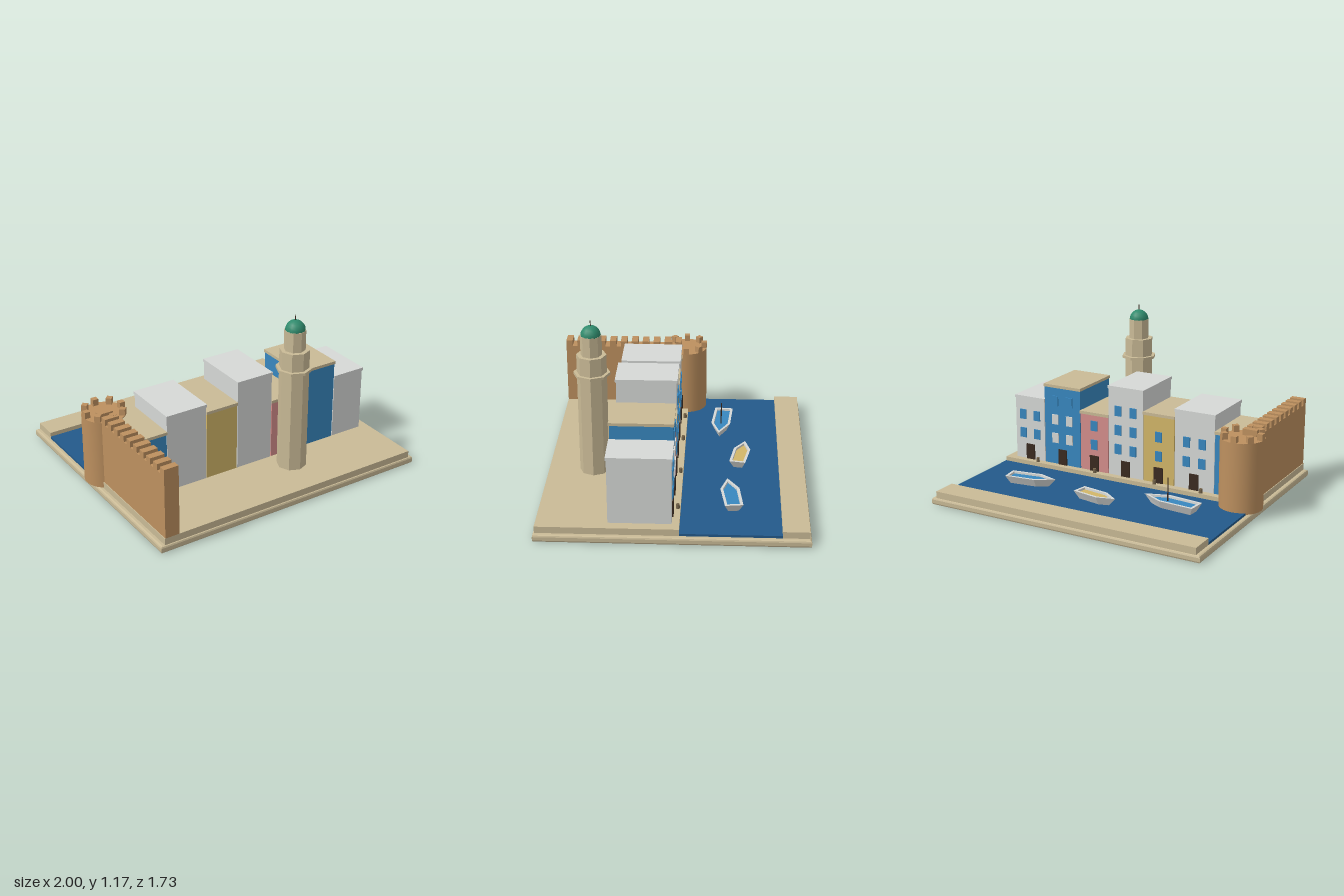
import * as THREE from 'three';

const mat = (name, color) => {
  const m = new THREE.MeshStandardMaterial({ color });
  m.name = name;
  return m;
};

export function createModel() {
  const root = new THREE.Group();
  root.name = 'harbourTown';
  const sand = mat('sandstone', 0xc9ba96);
  const white = mat('whitewash', 0xd6d8d6);
  const blue = mat('blue', 0x3887bf);
  const sea = mat('seaBlue', 0x23598a);
  const yellow = mat('ochre', 0xd2b668);
  const pink = mat('pink', 0xd58e8c);
  const brick = mat('brownStone', 0xbd905f);
  const green = mat('domeGreen', 0x2f8a6c);
  const dark = mat('darkWood', 0x3a2a20);
  const bronze = mat('bollardBrown', 0x75644a);

  const add = (name, geo, material, x = 0, y = 0, z = 0, parent = root) => {
    const mesh = new THREE.Mesh(geo, material);
    mesh.name = name;
    mesh.position.set(x, y, z);
    parent.add(mesh);
    return mesh;
  };
  // Box given by its min and max on each axis
  const box = (name, material, x0, x1, y0, y1, z0, z1, parent = root) =>
    add(name, new THREE.BoxGeometry(x1 - x0, y1 - y0, z1 - z0), material,
      (x0 + x1) / 2, (y0 + y1) / 2, (z0 + z1) / 2, parent);
  const group = (name) => {
    const g = new THREE.Group();
    g.name = name;
    root.add(g);
    return g;
  };
  const faceted = (geo) => {
    const g = geo.toNonIndexed();
    g.computeVertexNormals();
    return g;
  };

  // Base with bevelled rim
  const b = 0.013, hx = 0.985 - b, hz = 0.865 - b;
  const plate = new THREE.Shape([[-hx, -hz], [hx, -hz], [hx, hz], [-hx, hz]].map(p => new THREE.Vector2(...p)));
  const baseGeo = new THREE.ExtrudeGeometry(plate, {
    depth: 0.05 - 2 * b, bevelThickness: b, bevelSize: b, bevelSegments: 2,
  });
  baseGeo.rotateX(-Math.PI / 2);
  add('base', baseGeo, sand, 0.015, b, 0);

  // Ground, quays and water
  box('townGround', sand, -0.94, 0.97, 0.048, 0.095, -0.045, 0.855);
  box('farQuay', sand, -0.94, 0.97, 0.048, 0.095, -0.855, -0.685);
  box('water', sea, -0.94, 0.97, 0.048, 0.066, -0.685, -0.045);

  // Row of houses: x range, wall top, wall and roof colours, window columns, rows from the ground up
  const houses = [
    [-0.835, -0.648, 0.505, blue, sand, 1, [white, blue]],
    [-0.645, -0.355, 0.615, white, white, 2, [blue, blue]],
    [-0.35, -0.12, 0.56, yellow, sand, 1, [blue, blue]],
    [-0.115, 0.15, 0.705, white, white, 2, [blue, blue, blue]],
    [0.155, 0.372, 0.495, pink, sand, 1, [blue, blue]],
    [0.377, 0.663, 0.648, blue, sand, 2, [white, white, blue]],
    [0.668, 0.905, 0.535, white, white, 2, [blue, blue]],
  ];
  for (const [x0, x1, top, wall, roof, columns, rows] of houses) {
    const g = group('house');
    const cx = (x0 + x1) / 2;
    box('walls', wall, x0, x1, 0.09, top, 0.003, 0.403, g);
    box('roof', roof, x0 - 0.004, x1 + 0.004, top, top + 0.02, -0.003, 0.409, g);
    box('door', dark, cx - 0.034, cx + 0.034, 0.095, 0.205, -0.005, 0.004, g);
    rows.forEach((pane, r) => {
      for (const dx of columns === 2 ? [-0.057, 0.057] : [0]) {
        const y = 0.285 + r * 0.135;
        box('window', pane, cx + dx - 0.025, cx + dx + 0.025, y - 0.035, y + 0.035, -0.005, 0.004, g);
      }
    });
  }

  // Bollards along the quay
  for (const x of [-0.565, -0.22, 0.245, 0.71])
    add('bollard', new THREE.CylinderGeometry(0.011, 0.013, 0.03, 10), bronze, x, 0.11, -0.028);

  // City wall and its battlements
  const wallGroup = group('cityWall');
  box('wall', brick, -0.935, -0.835, 0.06, 0.53, -0.02, 0.855, wallGroup);
  for (let i = 0; i < 11; i++) {
    const z = 0.832 - i * 0.08;
    box('merlon', brick, -0.935, -0.835, 0.53, 0.572, z - 0.023, z + 0.023, wallGroup);
  }

  // Round corner tower with a ring of merlons
  const tower = group('cornerTower');
  tower.position.set(-0.855, 0, -0.03);
  add('towerBody', new THREE.CylinderGeometry(0.145, 0.145, 0.475, 28), brick, 0, 0.2925, 0, tower);
  for (let i = 0; i < 8; i++) {
    const a = i * Math.PI / 4;
    const m = add('merlon', new THREE.BoxGeometry(0.038, 0.045, 0.038), brick,
      Math.sin(a) * 0.126, 0.551, Math.cos(a) * 0.126, tower);
    m.rotation.y = a;
  }

  // Octagonal minaret
  const minaret = group('minaret');
  minaret.position.set(0.217, 0, 0.55);
  const octagon = (name, r, y0, y1) =>
    add(name, faceted(new THREE.CylinderGeometry(r, r, y1 - y0, 8)), sand, 0, (y0 + y1) / 2, 0, minaret);
  octagon('shaft', 0.098, 0.09, 0.933);
  octagon('balcony', 0.12, 0.792, 0.81);
  octagon('lantern', 0.07, 0.933, 1.068);
  add('dome', new THREE.SphereGeometry(0.066, 12, 6, 0, Math.PI * 2, 0, Math.PI / 2), green, 0, 1.066, 0, minaret);
  add('finial', new THREE.CylinderGeometry(0.003, 0.003, 0.045, 6), dark, 0, 1.145, 0, minaret);

  // Boats: bow along +x, hull lofted through shrinking outlines
  const outline = (L, W, inset, y) => {
    const h = W / 2 - inset, s = -L / 2 + inset;
    return [[s, -h * 0.95], [L * 0.12, -h], [L / 2 - inset * 2, 0], [L * 0.12, h], [s, h * 0.95]]
      .map(([x, z]) => [x, y, z]);
  };
  const boat = (x, z, L, W, angle, deckMat, mast) => {
    const g = group('boat');
    g.position.set(x, 0, z);
    g.rotation.y = angle;
    const loops = [outline(L, W, 0.028, 0.064), outline(L, W, 0, 0.122), outline(L, W, 0.018, 0.122), outline(L, W, 0.019, 0.108)];
    const pos = [];
    for (let k = 0; k < loops.length - 1; k++)
      for (let i = 0; i < 5; i++) {
        const j = (i + 1) % 5, [lo, hi] = [loops[k], loops[k + 1]];
        for (const p of [lo[i], hi[i], hi[j], lo[i], hi[j], lo[j]]) pos.push(...p);
      }
    const hull = new THREE.BufferGeometry();
    hull.setAttribute('position', new THREE.Float32BufferAttribute(pos, 3));
    hull.computeVertexNormals();
    add('hull', hull, white, 0, 0, 0, g);
    const deck = new THREE.ShapeGeometry(new THREE.Shape(loops[3].map(p => new THREE.Vector2(p[0], -p[2]))));
    deck.rotateX(-Math.PI / 2);
    add('deck', deck, deckMat, 0, 0.108, 0, g);
    if (mast) add('mast', new THREE.CylinderGeometry(0.004, 0.004, 0.16, 6), dark, 0.02, 0.187, 0, g);
  };
  boat(-0.478, -0.292, 0.4, 0.135, -0.09, blue, true);
  boat(-0.012, -0.432, 0.31, 0.115, Math.PI - 0.18, yellow, false);
  boat(0.537, -0.362, 0.35, 0.125, Math.PI + 0.13, blue, false);

  return root;
}
